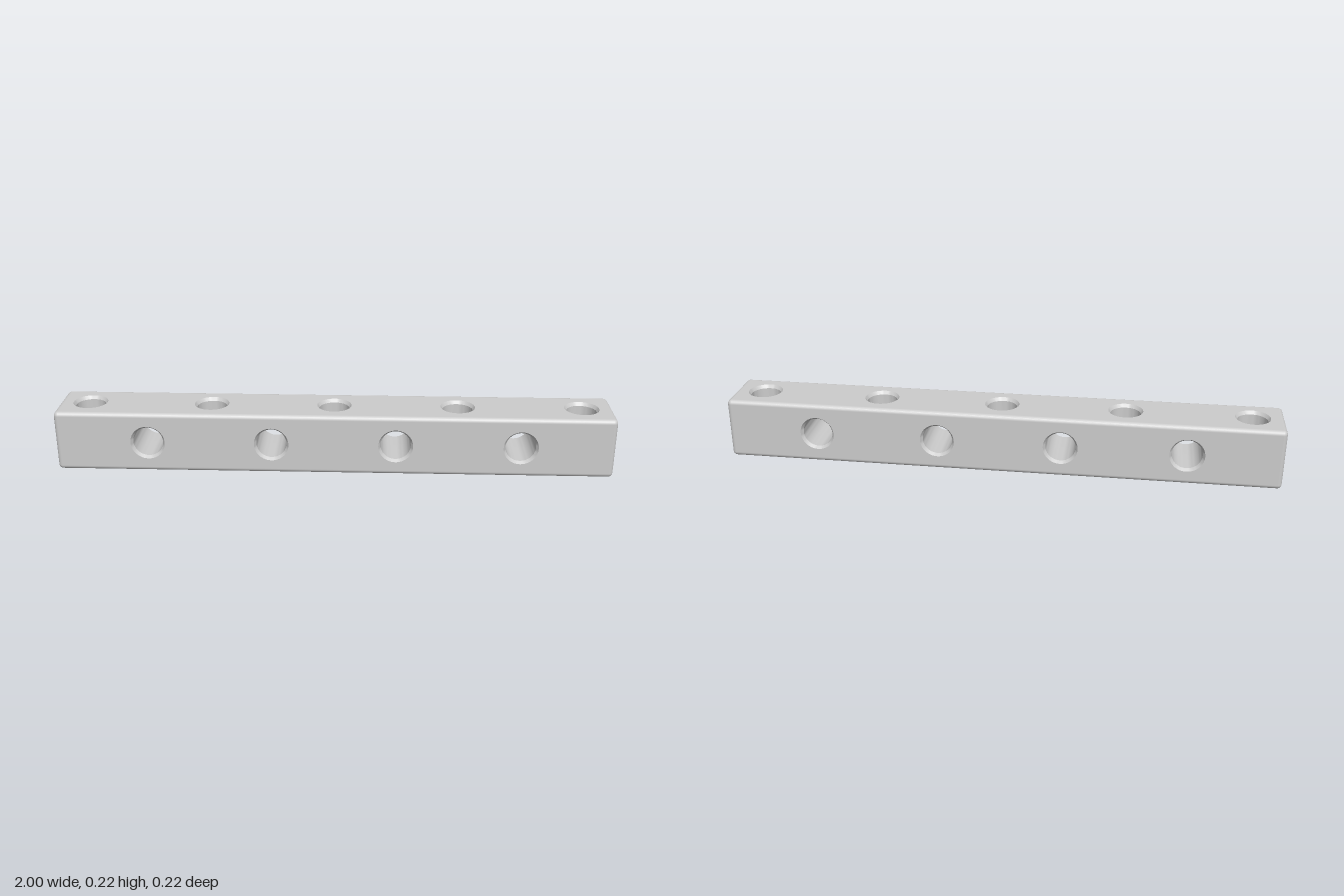
import * as THREE from 'three';
import { RoundedBoxGeometry } from 'three/addons/geometries/RoundedBoxGeometry.js';
import { toCreasedNormals } from 'three/addons/utils/BufferGeometryUtils.js';

const L = 1, H = 0.111;            // half length, half thickness
const R = 0.016;                   // edge rounding
const BORE = 0.054, RIM = 0.062, DEPTH = 0.012;
const SEG = 48;

// Rounded bar with its four long flat faces left open for the drilled panels
function shellGeometry() {
  const src = new RoundedBoxGeometry(2 * L, 2 * H, 2 * H, 4, R);
  const p = src.attributes.position, n = src.attributes.normal;
  const pos = [], nor = [];
  for (let i = 0; i < p.count; i += 3) {
    const ids = [i, i + 1, i + 2];
    const flat = (get) => ids.every((k) => Math.abs(Math.abs(p[get](k)) - H) < 1e-5);
    if (flat('getY') || flat('getZ')) continue;
    for (const k of ids) {
      pos.push(p.getX(k), p.getY(k), p.getZ(k));
      nor.push(n.getX(k), n.getY(k), n.getZ(k));
    }
  }
  const geo = new THREE.BufferGeometry();
  geo.setAttribute('position', new THREE.Float32BufferAttribute(pos, 3));
  geo.setAttribute('normal', new THREE.Float32BufferAttribute(nor, 3));
  return geo;
}

// Flat face with a row of round openings
function panelGeometry(xs) {
  const a = L - R, b = H - R;
  const shape = new THREE.Shape([
    new THREE.Vector2(-a, -b), new THREE.Vector2(a, -b),
    new THREE.Vector2(a, b), new THREE.Vector2(-a, b),
  ]);
  for (const x of xs) shape.holes.push(new THREE.Path().absarc(x, 0, RIM, 0, Math.PI * 2, true));
  return new THREE.ShapeGeometry(shape, SEG / 2).translate(0, 0, H);
}

// Inward-facing bore with a chamfer at both mouths, along z
function boreGeometry() {
  const profile = [[RIM, H], [BORE, H - DEPTH], [BORE, DEPTH - H], [RIM, -H]]
    .map(([r, y]) => new THREE.Vector2(r, y));
  return toCreasedNormals(new THREE.LatheGeometry(profile, SEG), 0.5).rotateX(Math.PI / 2);
}

export function createModel() {
  const model = new THREE.Group();
  model.name = 'drilledBeam';
  const body = new THREE.Group();
  body.name = 'beam';
  body.position.y = H;
  model.add(body);

  const mat = new THREE.MeshStandardMaterial({ color: 0xcccccc });
  const boreMat = new THREE.MeshStandardMaterial({ color: 0xcccccc, side: THREE.DoubleSide });
  const add = (parent, name, geo, m = mat) => {
    const mesh = new THREE.Mesh(geo, m);
    mesh.name = name;
    parent.add(mesh);
    return mesh;
  };

  add(body, 'roundedEdgesAndEnds', shellGeometry());

  // Opposite panels plus the through holes joining them
  const bore = boreGeometry();
  const drilledPair = (name, xs) => {
    const pair = new THREE.Group();
    pair.name = name;
    const panel = panelGeometry(xs);
    add(pair, 'face', panel);
    add(pair, 'oppositeFace', panel).rotation.x = Math.PI;
    for (const x of xs) add(pair, 'throughHole', bore, boreMat).position.x = x;
    body.add(pair);
    return pair;
  };

  const pitch = 4 / 9;
  drilledPair('frontBackDrilling', [-1.5, -0.5, 0.5, 1.5].map((k) => k * pitch));
  drilledPair('topBottomDrilling', [-2, -1, 0, 1, 2].map((k) => k * pitch)).rotation.x = -Math.PI / 2;

  return model;
}
